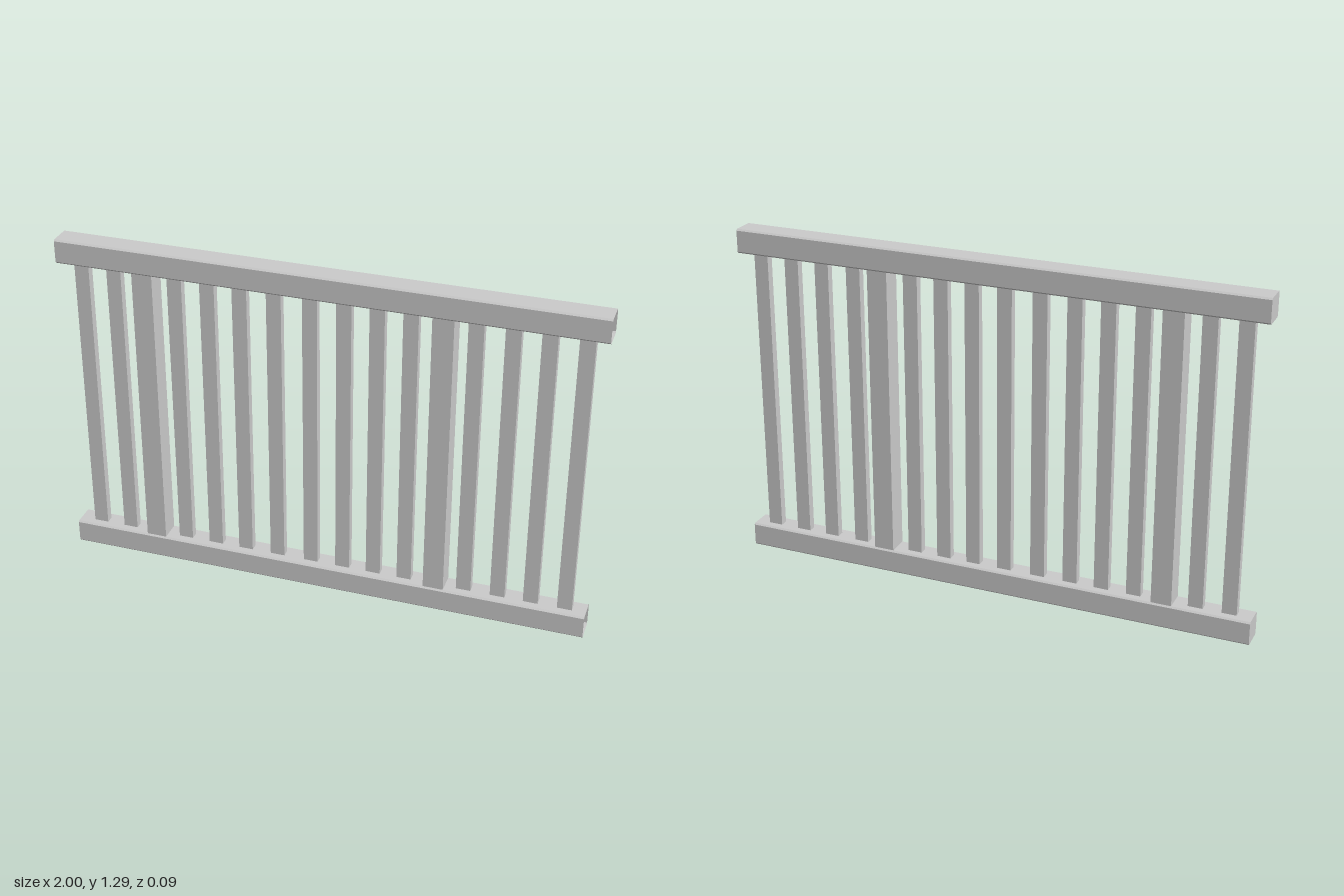
import * as THREE from 'three';

const RAIL = 0.092, HEIGHT = 1.29, LENGTH = 2, CHAMFER = 0.006;

// Square rail section with slightly clipped corners
function railSection() {
  const h = RAIL / 2, k = h - CHAMFER;
  const corners = [[k, -h], [h, -k], [h, k], [k, h], [-k, h], [-h, k], [-h, -k], [-k, -h]];
  return new THREE.Shape(corners.map(([x, y]) => new THREE.Vector2(x, y)));
}

// Side walls only: the extrusion without its two end caps
function openTube(shape, length) {
  const full = new THREE.ExtrudeGeometry(shape, { depth: length, bevelEnabled: false });
  const walls = full.groups[1];
  const geometry = new THREE.BufferGeometry();
  for (const name of ['position', 'normal']) {
    const a = full.attributes[name];
    const part = a.array.slice(walls.start * 3, (walls.start + walls.count) * 3);
    geometry.setAttribute(name, new THREE.BufferAttribute(part, 3));
  }
  return geometry.translate(0, 0, -length / 2).rotateY(Math.PI / 2);
}

export function createModel() {
  const model = new THREE.Group();
  model.name = 'railing';
  const solid = new THREE.MeshStandardMaterial({ color: 0xcccccc, flatShading: true });
  const shell = new THREE.MeshStandardMaterial({ color: 0xcccccc, flatShading: true, side: THREE.DoubleSide });

  const add = (parent, name, geometry, material, x, y) => {
    const mesh = new THREE.Mesh(geometry, material);
    mesh.name = name;
    mesh.position.set(x, y, 0);
    parent.add(mesh);
  };

  // Hollow rails, open at the +x end and closed at the -x end
  const section = railSection();
  const tube = openTube(section, LENGTH);
  const cap = new THREE.ShapeGeometry(section).rotateY(-Math.PI / 2);
  for (const [name, y] of [['bottomRail', RAIL / 2], ['topRail', HEIGHT - RAIL / 2]]) {
    const rail = new THREE.Group();
    rail.name = name;
    rail.position.y = y;
    add(rail, name + 'Walls', tube, shell, 0, 0);
    add(rail, name + 'EndCap', cap, shell, -LENGTH / 2, 0);
    model.add(rail);
  }

  // Uprights between the rails
  const span = HEIGHT - 2 * RAIL;
  const slat = new THREE.BoxGeometry(0.055, span, 0.03);
  const post = new THREE.BoxGeometry(0.077, span, 0.08);

  // Thin slats
  const slats = [-0.915, -0.79, -0.557, -0.433, -0.311, -0.183, -0.05,
    0.075, 0.195, 0.315, 0.543, 0.671, 0.795, 0.921];
  slats.forEach((x, i) => add(model, 'slat' + (i + 1), slat, solid, x, HEIGHT / 2));

  // Thick posts
  [-0.67, 0.434].forEach((x, i) => add(model, 'post' + (i + 1), post, solid, x, HEIGHT / 2));

  return model;
}
